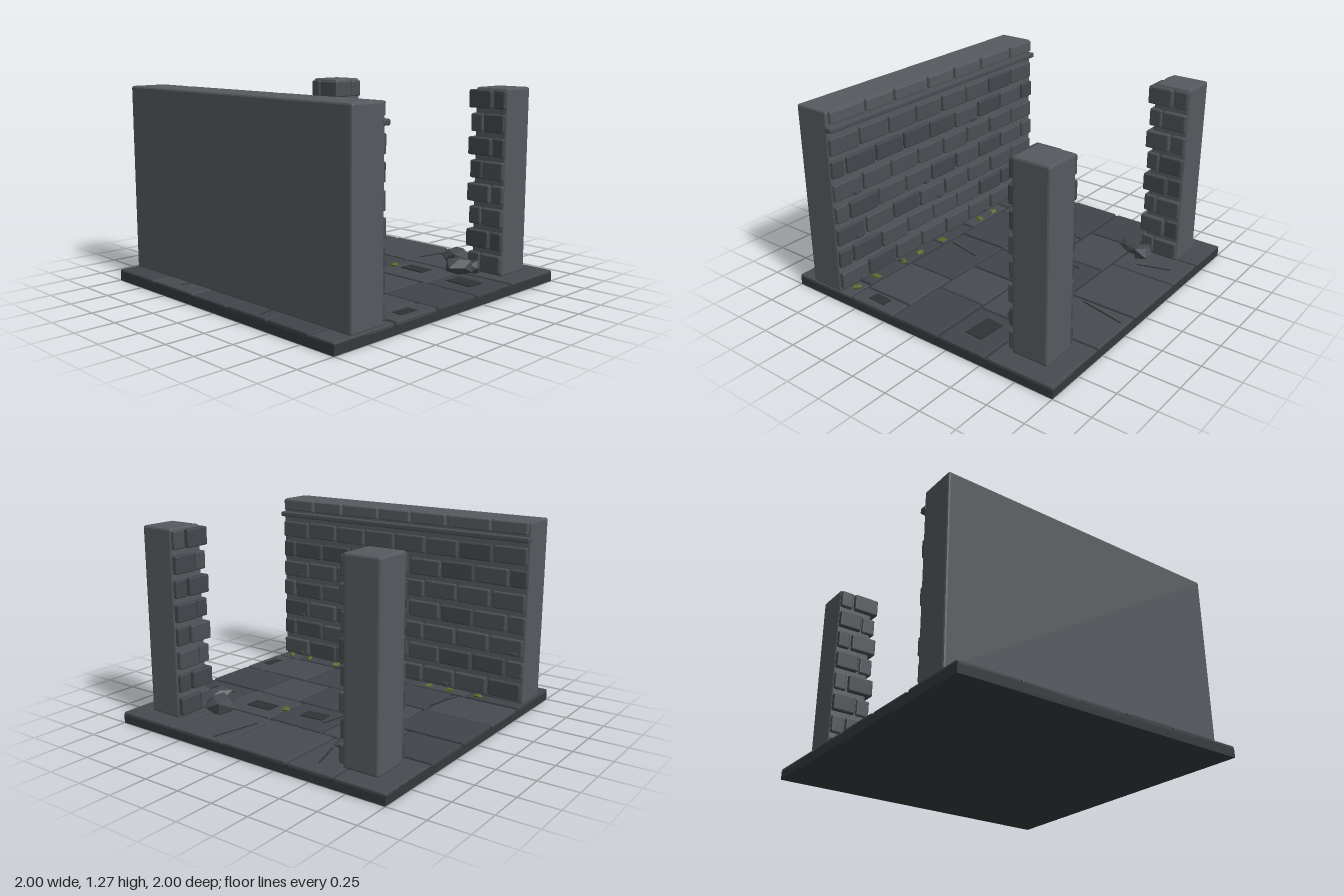
import * as THREE from 'three';
import { RoundedBoxGeometry } from 'three/addons/geometries/RoundedBoxGeometry.js';

const paint = (color) => new THREE.MeshStandardMaterial({ color, flatShading: true });
const mats = {
  base: paint(0x35383c), slab: paint(0x474b50), slabDark: paint(0x404449), mark: paint(0x2f3235),
  wall: paint(0x56595e), brick: paint(0x4b4e53), brickDark: paint(0x43464b), moss: paint(0x56692a),
};

// Small seeded generator for repeatable irregularity
function seeded(seed) {
  let s = seed;
  return () => (s = (s * 16807) % 2147483647) / 2147483647;
}

function add(parent, name, geometry, mat, x, y, z) {
  const mesh = new THREE.Mesh(geometry, mat);
  mesh.name = name;
  mesh.position.set(x, y, z);
  parent.add(mesh);
  return mesh;
}

// Chamfered block given by its minimum and maximum corners
function block(parent, name, mat, [x0, y0, z0], [x1, y1, z1], bevel = 0.008) {
  const geo = new RoundedBoxGeometry(x1 - x0, y1 - y0, z1 - z0, 1, bevel);
  return add(parent, name, geo, mat, (x0 + x1) / 2, (y0 + y1) / 2, (z0 + z1) / 2);
}

function group(parent, name) {
  const g = new THREE.Group();
  g.name = name;
  parent.add(g);
  return g;
}

// Faceted lump: an icosahedron whose corners are pushed in and out by direction
function lump(parent, name, mat, [x, y, z], [sx, sy, sz], seed) {
  const geo = new THREE.IcosahedronGeometry(1, 0);
  const p = geo.attributes.position;
  const v = new THREE.Vector3();
  for (let i = 0; i < p.count; i++) {
    v.fromBufferAttribute(p, i);
    v.multiplyScalar(0.95 + 0.2 * Math.sin(v.x * 5.1 + v.y * 7.3 + v.z * 3.7 + seed));
    p.setXYZ(i, v.x * sx, v.y * sy, v.z * sz);
  }
  geo.computeVertexNormals();
  const mesh = add(parent, name, geo, mat, x, y, z);
  mesh.rotation.y = seed;
  return mesh;
}

function buildFloor(root) {
  const floor = group(root, 'floor');
  const rand = seeded(11);
  add(floor, 'floorBase', new THREE.BoxGeometry(2, 0.06, 2), mats.base, 0, 0.03, 0);

  // Rows of paving: z start, z end, x joints
  const rows = [
    [-1, -0.55, [-1, -0.66, -0.34, 0.145, 0.55, 1]],
    [-0.53, -0.195, [-1, -0.64, -0.23, 0.18, 0.605, 1]],
    [-0.175, 0.165, [-1, -0.52, -0.07, 0.235, 0.575, 1]],
    [0.18, 0.525, [-1, -0.53, -0.08, 0.455, 0.85, 1]],
    [0.545, 1, [-1, -0.61, -0.2, 0.12, 0.48, 0.82, 1]],
  ];
  for (const [z0, z1, xs] of rows) {
    for (let i = 0; i < xs.length - 1; i++) {
      const x0 = xs[i] + (i ? 0.008 : 0);
      const x1 = xs[i + 1] - (i < xs.length - 2 ? 0.008 : 0);
      const top = 0.071 + rand() * 0.005;
      block(floor, 'slab', rand() < 0.5 ? mats.slab : mats.slabDark, [x0, 0.045, z0], [x1, top, z1], 0.007);
    }
  }

  // Worn patches: x, z, width, depth, turn
  const patches = [
    [-0.03, -0.34, 0.16, 0.1, 0.1], [0.36, -0.39, 0.18, 0.1, 0], [0.78, -0.36, 0.19, 0.12, -0.06],
    [-0.27, 0.03, 0.15, 0.14, 0.2], [0.915, 0.36, 0.07, 0.13, -0.06],
  ];
  for (const [x, z, w, d, turn] of patches)
    add(floor, 'wornPatch', new THREE.BoxGeometry(w, 0.006, d), mats.mark, x, 0.076, z).rotation.y = turn;

  // Cracks: x, z, length, turn
  const cracks = [
    [-0.46, -0.79, 0.22, 0.3], [0.21, -0.81, 0.32, -0.22], [-0.17, -0.31, 0.2, -0.2],
    [-0.55, 0.37, 0.25, -0.24], [0.1, 0.37, 0.25, -0.22], [-0.4, 0.9, 0.08, 0], [0.38, 0.91, 0.12, 0.2],
  ];
  for (const [x, z, len, turn] of cracks)
    add(floor, 'crack', new THREE.BoxGeometry(0.007, 0.005, len), mats.mark, x, 0.076, z).rotation.y = turn;
}

function buildWall(root) {
  const wall = group(root, 'backWall');
  const rand = seeded(29);
  block(wall, 'wallBody', mats.wall, [-0.995, 0.07, 0.625], [0.995, 1.27, 0.87], 0.012);

  // Staggered courses on the inner face
  for (let row = 0; row < 7; row++) {
    const y0 = 0.09 + row * 0.15;
    const offset = row % 2 ? -0.125 : 0;
    for (let i = 0; i < 9; i++) {
      const x0 = Math.max(-0.99, -0.99 + i * 0.25 + offset + 0.01);
      const x1 = Math.min(0.99, -0.99 + (i + 1) * 0.25 + offset - 0.01);
      if (x1 - x0 < 0.05) continue;
      const front = 0.598 + rand() * 0.01;
      const lift = rand() * 0.008;
      block(wall, 'wallBrick', rand() < 0.6 ? mats.brick : mats.brickDark,
        [x0, y0 + lift, front], [x1, y0 + 0.112 + lift, 0.645], 0.009);
      // Occasional chip standing off the brick
      if (rand() < 0.16)
        block(wall, 'brickChip', mats.brickDark, [x0 + 0.03, y0 + 0.005, front - 0.012],
          [x0 + 0.075, y0 + 0.028, front + 0.01], 0.004);
    }
  }

  // Thin ledge and the course along the top
  block(wall, 'ledge', mats.brick, [-1, 1.14, 0.588], [1, 1.175, 0.64], 0.008);
  const joints = [-0.99, -0.73, -0.4, -0.12, 0.14, 0.45, 0.7, 0.99];
  for (let i = 0; i < joints.length - 1; i++)
    block(wall, 'topBrick', mats.wall, [joints[i] + 0.012, 1.19, 0.6], [joints[i + 1] - 0.012, 1.268, 0.65], 0.008);
}

// Pillar with stones on its front and on the side facing the centre
function buildPillar(root, side) {
  const pillar = group(root, side > 0 ? 'leftPillar' : 'rightPillar');
  const rand = seeded(side > 0 ? 71 : 53);
  const span = (a, b) => (side > 0 ? [a, b] : [-b, -a]);
  const stone = (a, b, y0, y1, z0, z1) => {
    const [x0, x1] = span(a, b);
    block(pillar, 'pillarStone', rand() < 0.5 ? mats.brick : mats.brickDark, [x0, y0, z0], [x1, y1, z1], 0.009);
  };
  const [bx0, bx1] = span(0.632, 0.87);
  block(pillar, 'pillarBody', mats.wall, [bx0, 0.07, -0.872], [bx1, 1.27, -0.628], 0.014);
  for (let row = 0; row < 8; row++) {
    const y0 = 0.09 + row * 0.15;
    const y1 = y0 + 0.115;
    if (row % 2) {
      // Large corner stone with a small one at each end
      stone(0.6, 0.77, y0, y1, -0.76, -0.597);
      stone(0.785, 0.865, y0, y1, -0.66, -0.605);
      stone(0.61, 0.66, y0, y1, -0.865, -0.775);
    } else {
      // Shorter corner stone with longer neighbours
      stone(0.612, 0.7, y0, y1, -0.69, -0.608);
      stone(0.715, 0.865, y0, y1, -0.66, -0.6);
      stone(0.602, 0.66, y0, y1, -0.865, -0.705);
    }
  }
}

export function createModel() {
  const root = new THREE.Group();
  root.name = 'ruinedRoom';
  buildFloor(root);
  buildWall(root);
  buildPillar(root, 1);
  buildPillar(root, -1);

  // Fallen rubble beside the pillars
  const rubble = group(root, 'rubble');
  lump(rubble, 'rock', mats.slab, [0.48, 0.13, -0.65], [0.11, 0.075, 0.115], 0.6);
  lump(rubble, 'rock', mats.slab, [0.62, 0.125, -0.51], [0.095, 0.07, 0.09], 2.1);
  lump(rubble, 'rock', mats.slabDark, [0.67, 0.11, -0.59], [0.06, 0.05, 0.06], 3.3);
  lump(rubble, 'rock', mats.slab, [-0.53, 0.12, -0.66], [0.09, 0.06, 0.065], 1.2);
  lump(rubble, 'rock', mats.slab, [-0.57, 0.11, -0.55], [0.09, 0.05, 0.055], 4.4);

  // Moss along the foot of the wall and one tuft on the floor
  const moss = group(root, 'moss');
  [-0.7, -0.48, -0.32, 0.09, 0.32, 0.48, 0.73, 0.9].forEach((x, i) =>
    lump(moss, 'mossTuft', mats.moss, [x, 0.082, 0.575], [0.036, 0.016, 0.026], i * 0.8));
  lump(moss, 'mossTuft', mats.moss, [0.19, 0.078, -0.36], [0.032, 0.012, 0.042], 0.4);
  return root;
}
